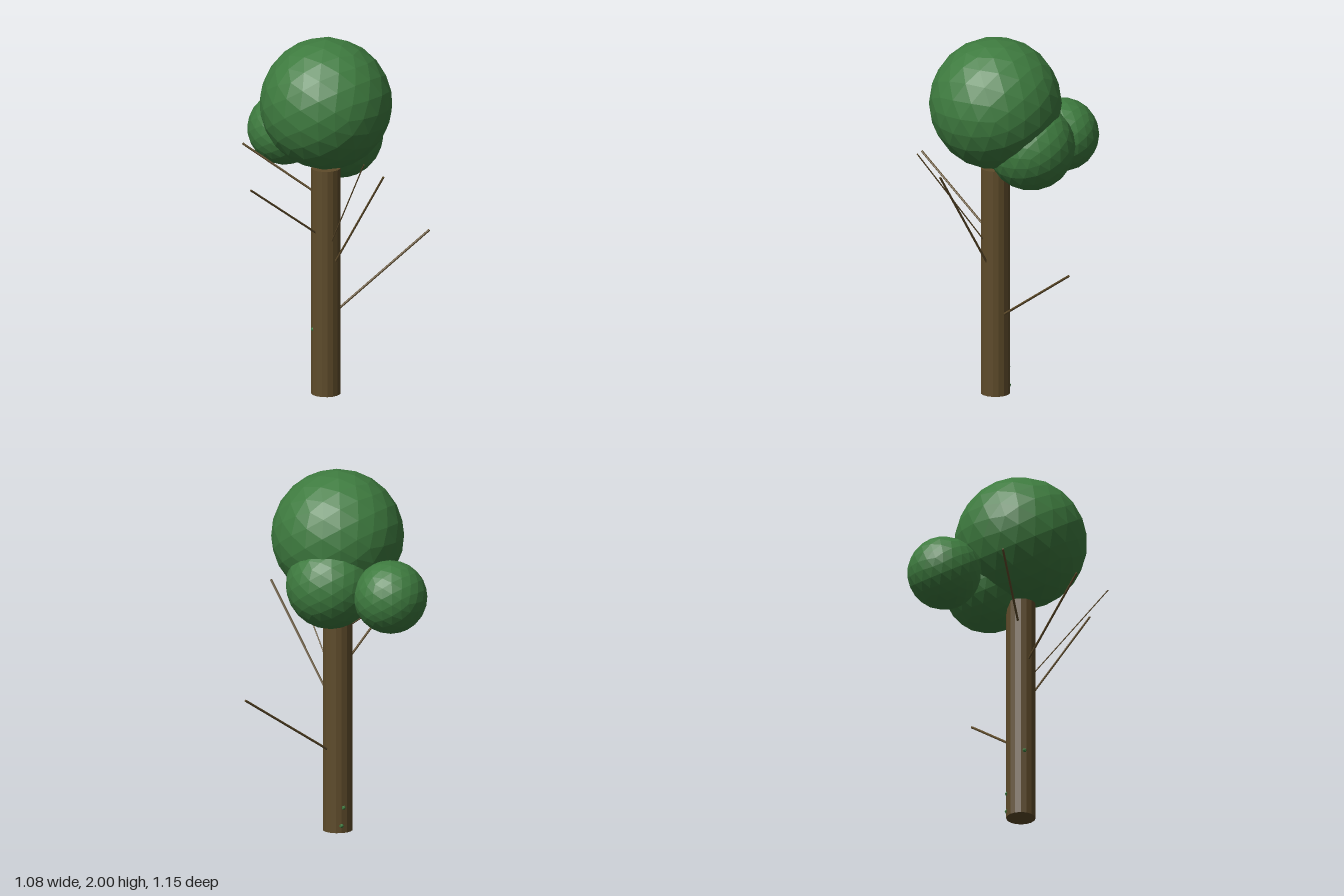
import * as THREE from 'three';

export function createModel() {
  const tree = new THREE.Group();
  tree.name = 'tree';
  const bark = new THREE.MeshStandardMaterial({ color: 0x5e4b2a, flatShading: true });
  bark.name = 'bark brown';
  const leaf = new THREE.MeshStandardMaterial({ color: 0x3e7b3f, flatShading: true });
  leaf.name = 'leaf green';

  const TX = 0.08, TZ = 0.04, TR = 0.08, TH = 1.275; // trunk axis, radius, height

  function add(name, geometry, material, x, y, z) {
    const mesh = new THREE.Mesh(geometry, material);
    mesh.name = name;
    mesh.position.set(x, y, z);
    tree.add(mesh);
    return mesh;
  }

  // Straight trunk
  add('trunk', new THREE.CylinderGeometry(TR, TR, TH, 16), bark, TX, TH / 2, TZ);

  // Faceted leaf balls: x, y, z, radius
  const balls = {
    mainCrown: [0.08, 1.64, 0.04, 0.36],
    backCrown: [0.02, 1.41, -0.15, 0.24],
    sideCrown: [-0.34, 1.38, -0.125, 0.2],
  };
  for (const [name, [x, y, z, r]] of Object.entries(balls)) {
    add(name, new THREE.IcosahedronGeometry(r, 3), leaf, x, y, z);
  }

  // Bare twigs rising from the trunk axis: start height, tip, radius
  const twigs = [
    [1.095, [-0.3, 1.4, 0.287], 0.006],
    [0.87, [-0.018, 1.256, 0.57], 0.006],
    [0.65, [0.533, 1.325, 0.11], 0.006],
    [0.78, [0.52, 1.43, 0.264], 0.0035],
    [0.415, [0.309, 0.82, -0.57], 0.0065],
  ];
  const up = new THREE.Vector3(0, 1, 0);
  for (const [startY, tip, r] of twigs) {
    const a = new THREE.Vector3(TX, startY, TZ);
    const b = new THREE.Vector3(...tip);
    const dir = b.clone().sub(a);
    const mid = a.add(b).multiplyScalar(0.5);
    const mesh = add('twig', new THREE.CylinderGeometry(r, r, dir.length(), 8), bark, mid.x, mid.y, mid.z);
    mesh.quaternion.setFromUnitVectors(up, dir.normalize());
  }

  // Tiny leaf buds on the bark: angle around the trunk, height
  for (const [angle, y] of [[-0.52, 0.37], [-2.2, 0.14], [-2.36, 0.04]]) {
    add('leafBud', new THREE.IcosahedronGeometry(0.014, 0), leaf,
      TX + Math.sin(angle) * (TR - 0.006), y, TZ + Math.cos(angle) * (TR - 0.006));
  }
  return tree;
}
